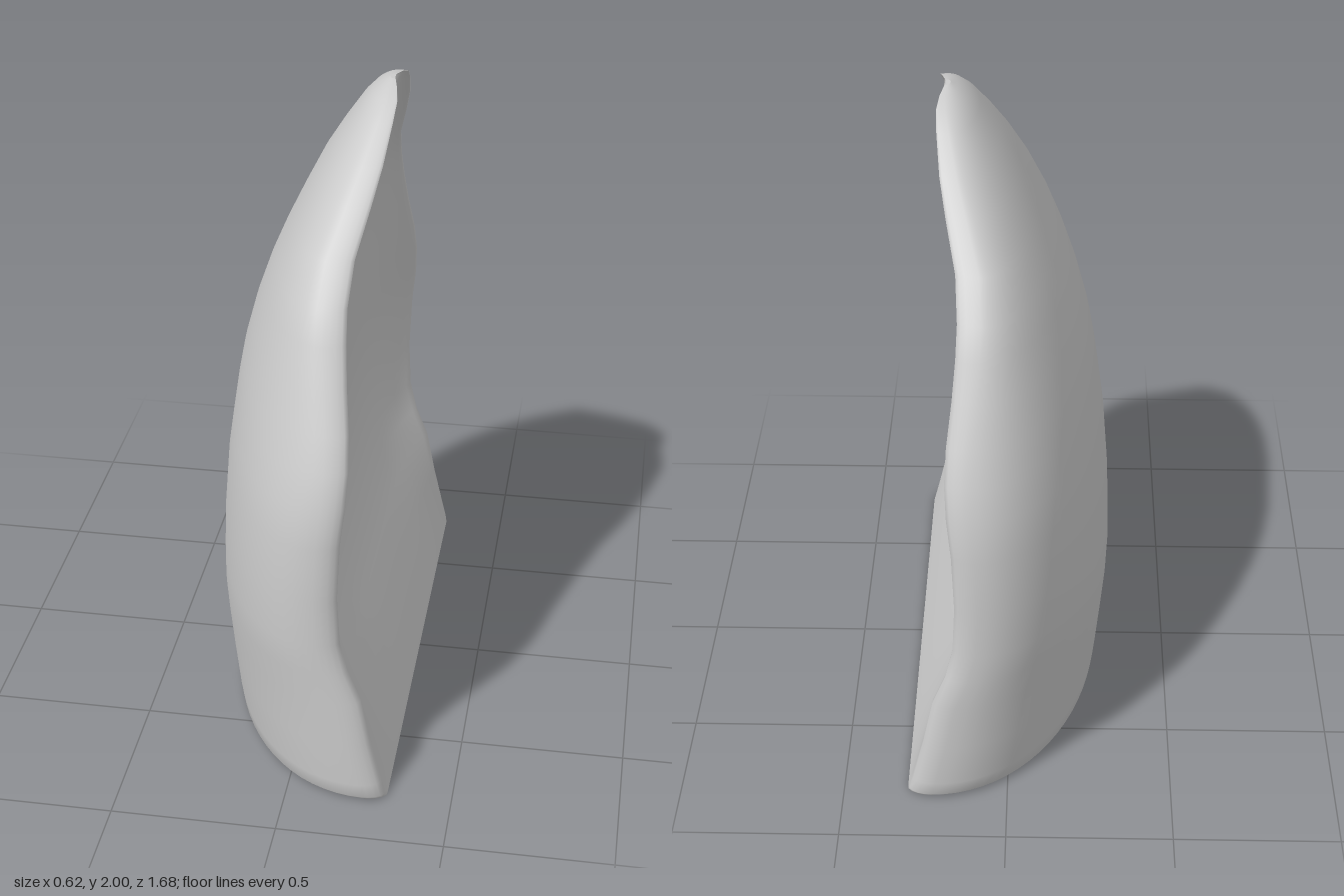
import * as THREE from 'three';

// Horizontal sections: height, half width, outer x, rim x, inner wall x
const SECTIONS = [
  [0.0, 0.82, -0.26, 0.305, 0.305],
  [0.015, 0.835, -0.272, 0.30, 0.30],
  [0.06, 0.838, -0.278, 0.288, 0.282],
  [0.2, 0.838, -0.292, 0.255, 0.225],
  [0.35, 0.838, -0.306, 0.225, 0.155],
  [0.45, 0.838, -0.31, 0.185, 0.11],
  [0.55, 0.838, -0.308, 0.162, 0.075],
  [0.7, 0.838, -0.302, 0.155, 0.045],
  [0.88, 0.836, -0.288, 0.162, 0.04],
  [1.0, 0.82, -0.272, 0.175, 0.045],
  [1.1, 0.79, -0.258, 0.18, 0.05],
  [1.2, 0.75, -0.24, 0.175, 0.055],
  [1.32, 0.695, -0.208, 0.16, 0.063],
  [1.43, 0.645, -0.17, 0.15, 0.075],
  [1.52, 0.6, -0.132, 0.146, 0.085],
  [1.63, 0.51, -0.08, 0.153, 0.1],
  [1.75, 0.4, -0.02, 0.183, 0.125],
  [1.84, 0.31, 0.035, 0.203, 0.15],
  [1.93, 0.2, 0.095, 0.215, 0.18],
  [1.97, 0.135, 0.13, 0.218, 0.195],
  [1.99, 0.08, 0.16, 0.21, 0.2],
  [2.0, 0.02, 0.18, 0.197, 0.195],
];
const OUTER = 40, INNER = 48;

// One closed ring: elliptical back, rounded rim, dished inner wall
function ring([y, w, xo, xr, xi]) {
  const pts = [];
  const rim = Math.min(0.07, (xr - xo) * 0.3);
  const xe = xr - rim;
  for (let i = 0; i <= OUTER; i++) {
    const t = (Math.PI * i) / OUTER;
    pts.push([xe - (xe - xo) * Math.sin(t), y, w * Math.cos(t)]);
  }
  for (let i = 1; i < INNER; i++) {
    const s = -Math.cos((Math.PI * i) / INNER);
    const u = Math.abs(s), k = 0.955;
    const x = u < k
      ? xi + (xr - xi) * Math.pow(u / k, 5)
      : xe + rim * Math.sqrt(Math.max(0, 1 - ((u - k) / (1 - k)) ** 2));
    pts.push([x, y, w * s]);
  }
  return pts;
}

function loft(rings) {
  const n = rings[0].length, index = [];
  for (let j = 0; j < rings.length - 1; j++) {
    for (let i = 0; i < n; i++) {
      const a = j * n + i, b = j * n + ((i + 1) % n);
      index.push(a, a + n, b, b, a + n, b + n);
    }
  }
  return build(rings.flat(), index);
}

function cap(points, centreX, up) {
  const n = points.length, index = [];
  for (let i = 0; i < n; i++) {
    const k = (i + 1) % n;
    if (up) index.push(n, k, i);
    else index.push(n, i, k);
  }
  return build([...points, [centreX, points[0][1], 0]], index);
}

function build(points, index) {
  const g = new THREE.BufferGeometry();
  g.setAttribute('position', new THREE.Float32BufferAttribute(points.flat(), 3));
  g.setIndex(index);
  g.computeVertexNormals();
  return g;
}

export function createModel() {
  const group = new THREE.Group();
  group.name = 'curvedShell';
  const material = new THREE.MeshStandardMaterial({ color: 0xcccccc });
  const rings = SECTIONS.map(ring);
  const add = (name, geometry) => {
    const mesh = new THREE.Mesh(geometry, material);
    mesh.name = name;
    group.add(mesh);
  };

  // Dished shell, flat underside and small closed tip
  add('shell', loft(rings));
  add('underside', cap(rings[0], 0.1, false));
  add('tip', cap(rings[rings.length - 1], 0.19, true));
  return group;
}
